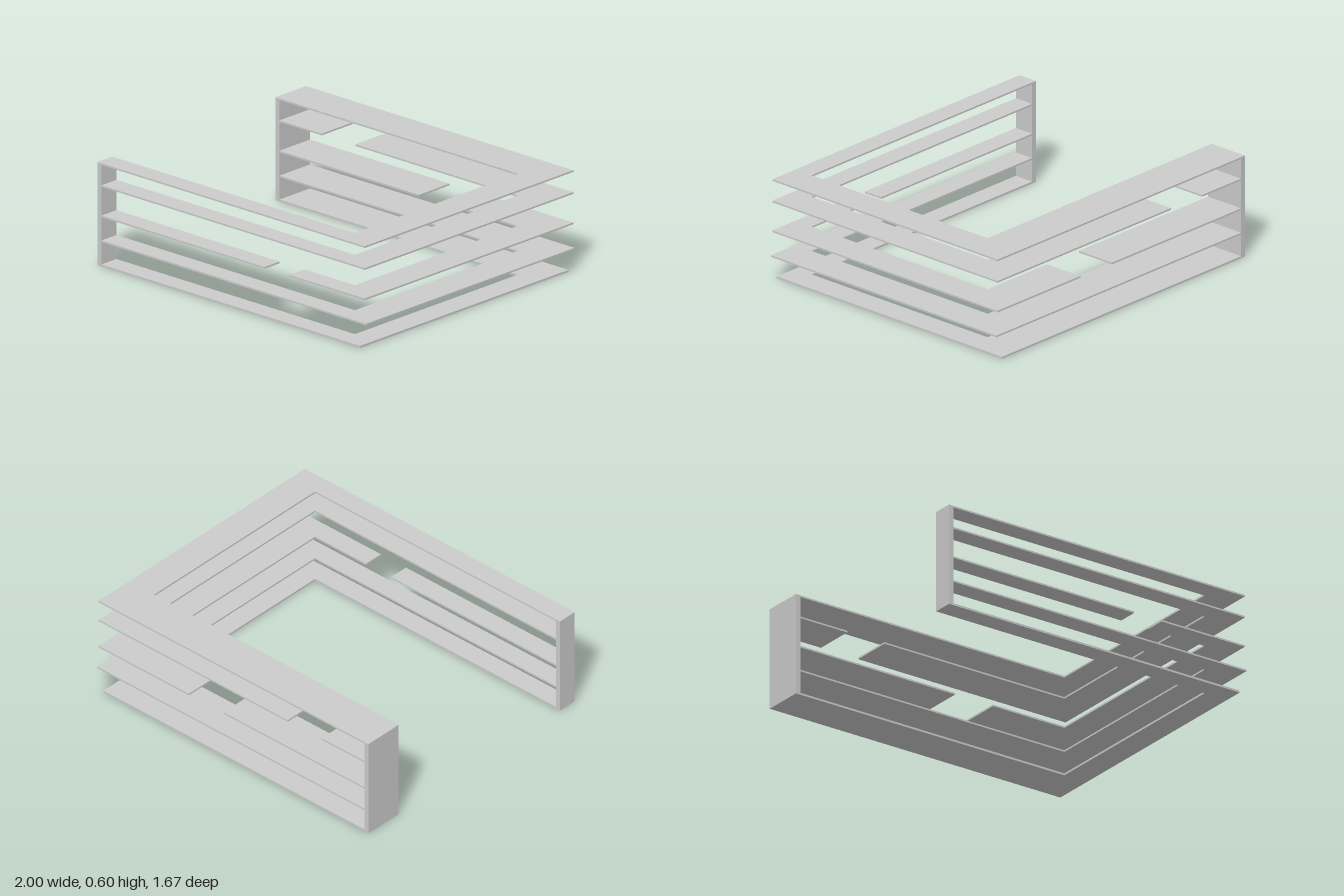
import * as THREE from 'three';

const material = new THREE.MeshStandardMaterial({ color: 0xcccccc, flatShading: true });

const BACK = -0.835, BACK_IN = -0.59;   // back run, outer and inner z
const FRONT = 0.835, FRONT_IN = 0.715;  // front run, outer and inner z
const SIDE_IN = 0.805;                  // inner edge of the side run
const LEFT_END = -0.97;                 // inner face of the end panels

function addBox(parent, name, x0, x1, y0, y1, z0, z1) {
  const mesh = new THREE.Mesh(new THREE.BoxGeometry(x1 - x0, y1 - y0, z1 - z0), material);
  mesh.position.set((x0 + x1) / 2, (y0 + y1) / 2, (z0 + z1) / 2);
  mesh.name = name;
  parent.add(mesh);
}

// U-shaped board in plan; each run stops at its own x
function addUBoard(parent, name, top, thickness, outer, backStart, frontStart) {
  const shape = new THREE.Shape([
    [backStart, BACK], [outer, BACK], [outer, FRONT], [frontStart, FRONT],
    [frontStart, FRONT_IN], [SIDE_IN, FRONT_IN], [SIDE_IN, BACK_IN], [backStart, BACK_IN],
  ].map(([x, z]) => new THREE.Vector2(x, z)));
  const geometry = new THREE.ExtrudeGeometry(shape, { depth: thickness, bevelEnabled: false });
  geometry.rotateX(Math.PI / 2).translate(0, top, 0);
  const mesh = new THREE.Mesh(geometry, material);
  mesh.name = name;
  parent.add(mesh);
}

export function createModel() {
  const model = new THREE.Group();
  model.name = 'shelfUnit';

  // Upright panels closing the free ends of both runs
  addBox(model, 'backEndPanel', -1, LEFT_END, 0, 0.598, BACK, BACK_IN);
  addBox(model, 'frontEndPanel', -1, LEFT_END, 0, 0.598, FRONT_IN, FRONT);

  // Shelves from the floor up; gaps are [from, to] along x
  const shelves = [
    { name: 'bottomShelf', top: 0.012, thick: 0.012, outer: 0.955 },
    { name: 'lowerShelf', top: 0.151, thick: 0.01, outer: 1 },
    { name: 'middleShelf', top: 0.295, thick: 0.01, outer: 0.99, backGap: [0.07, 0.325], frontGap: [0.245, 0.43] },
    { name: 'upperShelf', top: 0.471, thick: 0.01, outer: 0.99, backGap: [-0.655, -0.405] },
    { name: 'topShelf', top: 0.598, thick: 0.01, outer: 0.99 },
  ];
  for (const { name, top, thick, outer, backGap, frontGap } of shelves) {
    const shelf = new THREE.Group();
    shelf.name = name;
    addUBoard(shelf, name + 'Board', top, thick, outer,
      backGap ? backGap[1] : LEFT_END, frontGap ? frontGap[1] : LEFT_END);
    // Short boards between the gap and the end panel
    if (backGap) addBox(shelf, name + 'BackPiece', LEFT_END, backGap[0], top - thick, top, BACK, BACK_IN);
    if (frontGap) addBox(shelf, name + 'FrontPiece', LEFT_END, frontGap[0], top - thick, top, FRONT_IN, FRONT);
    model.add(shelf);
  }
  return model;
}
